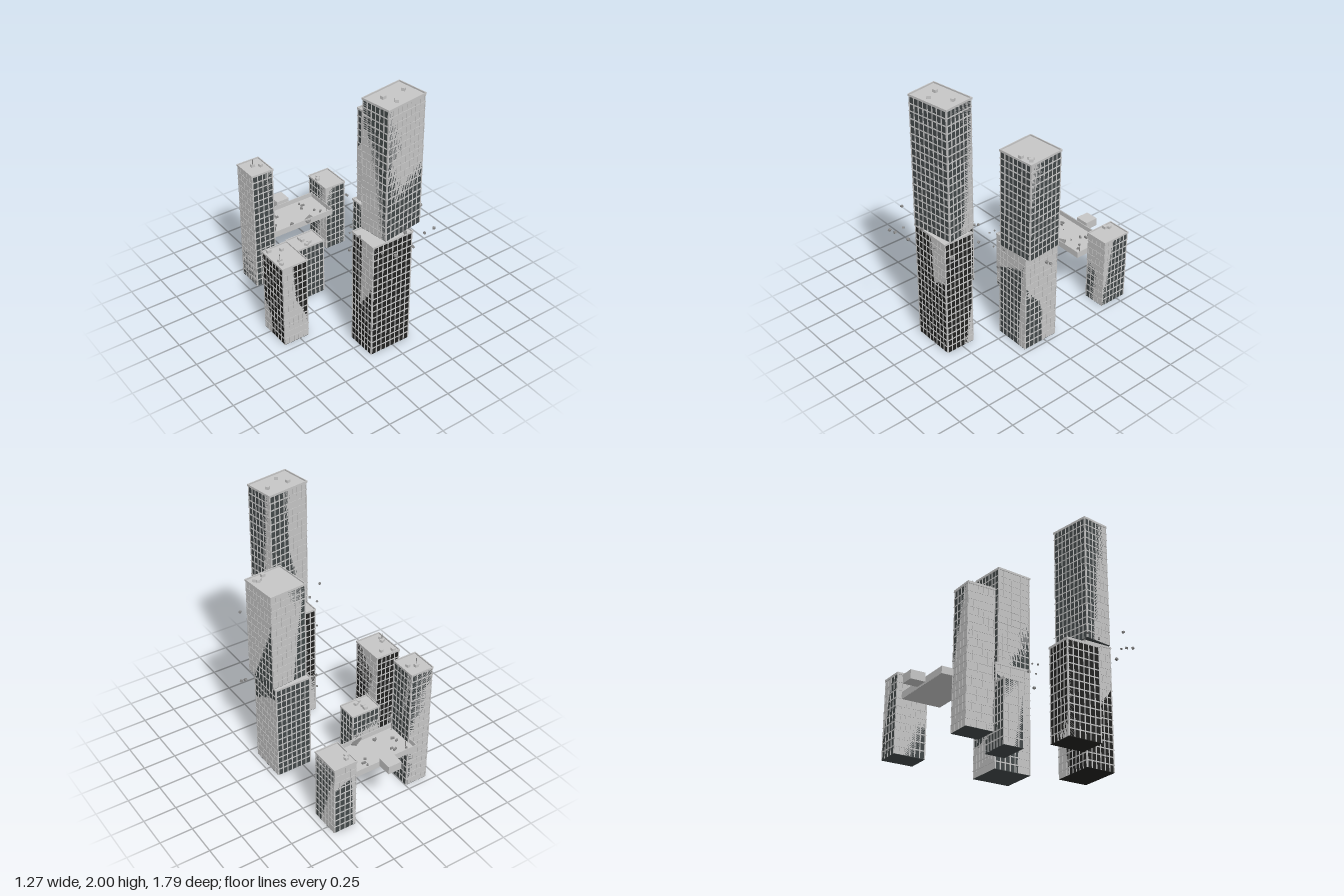
import * as THREE from 'three';
import { mergeGeometries } from 'three/addons/utils/BufferGeometryUtils.js';

const mat = (name, color) => {
  const m = new THREE.MeshStandardMaterial({ color });
  m.name = name;
  return m;
};
const greyGlass = mat('grey glass', 0x43494a);
const blackGlass = mat('black glass', 0x222221);
const concrete = mat('concrete', 0xc6c6c6);
const rubbleGrey = mat('rubble grey', 0x8a8a8a);

// Box geometry centred on x and z, standing on y
const box = (w, h, d, x = 0, y = 0, z = 0, turn = 0) =>
  new THREE.BoxGeometry(w, h, d).rotateY(turn).translate(x, y + h / 2, z);

function add(parent, name, geos, material) {
  const mesh = new THREE.Mesh(Array.isArray(geos) ? mergeGeometries(geos) : geos, material);
  mesh.name = name;
  parent.add(mesh);
  return mesh;
}

// Four thin walls around a rectangle
const rim = (w, d, y, h, t) => [
  box(w, h, t, 0, y, d / 2 - t / 2), box(w, h, t, 0, y, -d / 2 + t / 2),
  box(t, h, d - 2 * t, w / 2 - t / 2, y, 0), box(t, h, d - 2 * t, -w / 2 + t / 2, y, 0),
];

// Tower block: glass core, grid of mullions, roof with parapet and vents
function tower(name, { x, z, w, d, y = 0, h, turn = 0, glass = greyGlass, vents = [], mast }) {
  const g = new THREE.Group();
  g.name = name;
  g.position.set(x, y, z);
  g.rotation.y = turn;
  const e = 0.006, t = 0.008, cw = w - e, cd = d - e, wall = h - 0.012;
  add(g, 'glassWalls', box(cw, wall - 0.004, cd), glass);

  const bars = [];
  const rows = Math.round(h / 0.056), nx = Math.round(w / 0.042), nz = Math.round(d / 0.042);
  for (let i = 1; i < rows; i++) bars.push(box(w, t, d, 0, (i * wall) / rows - t / 2, 0));
  for (let i = 0; i <= nx; i++) {
    const px = -cw / 2 + t / 2 + (i * (cw - t)) / nx;
    bars.push(box(t, wall - 0.006, d - 0.001, px, 0.002, 0));
  }
  for (let i = 0; i <= nz; i++) {
    const pz = -cd / 2 + t / 2 + (i * (cd - t)) / nz;
    bars.push(box(w - 0.001, wall - 0.006, t, 0, 0.002, pz));
  }
  add(g, 'windowGrid', bars, concrete);
  add(g, 'roof', [box(w - 0.002, 0.006, d - 0.002, 0, wall - 0.005, 0),
    ...rim(w + 0.004, d + 0.004, wall - 0.004, 0.016, 0.006)], concrete);
  if (vents.length) {
    add(g, 'roofVents', vents.map(([vx, vz], i) =>
      box(0.03 - (i % 2) * 0.006, 0.022, 0.026, vx, wall, vz, turn ? i * 0.4 : i * 0.15)), concrete);
  }
  if (mast) add(g, 'mast', box(0.004, 0.068, 0.004, mast[0], wall, mast[1]), rubbleGrey);
  return g;
}

// Scattered cubes, given as x, y, z and size
const rubble = (list) => list.map(([x, y, z, s], i) =>
  new THREE.BoxGeometry(s, s * 0.8, s).rotateX(i * 0.7).rotateY(i * 1.3).translate(x, y, z));

export function createModel() {
  const model = new THREE.Group();
  model.name = 'brokenCity';

  model.add(
    // Broken towers: lower stump and twisted upper block
    tower('tallTowerLower', { x: -0.024, z: 0.513, w: 0.338, d: 0.238, h: 0.945, glass: blackGlass }),
    tower('tallTowerUpper', { x: 0.023, z: 0.54, w: 0.338, d: 0.235, y: 0.992, h: 1.0, turn: 0.15,
      vents: [[-0.07, -0.03], [0.1, -0.015], [-0.04, 0.06]] }),
    tower('wideTowerLower', { x: 0.323, z: 0.036, w: 0.288, d: 0.295, h: 0.79 }),
    tower('wideTowerUpper', { x: 0.35, z: 0.05, w: 0.29, d: 0.293, y: 0.796, h: 0.765, turn: 0.085,
      vents: [[0.02, 0.115], [0.068, 0.085], [0.1, 0.1], [0.088, 0.075]] }),
    // Whole towers
    tower('blackTower', { x: -0.53, z: 0.06, w: 0.207, d: 0.265, h: 0.683, glass: blackGlass,
      vents: [[-0.065, -0.105], [0.02, -0.07], [-0.06, 0.03], [-0.07, 0.07]], mast: [-0.065, 0.04] }),
    tower('shortTower', { x: -0.156, z: -0.248, w: 0.236, d: 0.16, h: 0.475,
      vents: [[-0.02, -0.04], [-0.02, -0.01], [0.01, 0.035], [-0.02, 0.05]] }),
    tower('slimTower', { x: -0.343, z: -0.606, w: 0.182, d: 0.206, h: 1.0,
      vents: [[-0.005, -0.025], [0.045, 0.005]], mast: [-0.007, -0.02] }),
    tower('rearTower', { x: 0.364, z: -0.712, w: 0.182, d: 0.236, h: 0.578,
      vents: [[-0.065, -0.03], [-0.045, -0.055]] }),
  );

  // Raised deck between the rear towers
  const deck = new THREE.Group();
  deck.name = 'skyDeck';
  deck.position.set(0.003, 0.388, -0.645);
  add(deck, 'deckFloor', box(0.535, 0.014, 0.29), concrete);
  add(deck, 'deckRim', rim(0.537, 0.292, 0.001, 0.05, 0.005), concrete);
  add(deck, 'deckBox', box(0.107, 0.064, 0.108, 0, 0.014, -0.2), concrete);
  add(deck, 'fallenSlab', new THREE.BoxGeometry(0.085, 0.012, 0.04).rotateX(0.35)
    .rotateY(0.5).translate(0.055, 0.035, 0.13), rubbleGrey);
  const bits = [[-0.21, -0.1], [-0.12, -0.05], [-0.135, -0.07], [0.12, -0.1], [0.1, -0.04], [0.13, -0.07],
    [0.17, 0.035], [0.2, 0.075], [-0.19, 0.035], [-0.07, 0.095], [-0.2, 0], [-0.08, 0.09]];
  add(deck, 'deckRubble', bits.map(([x, z], i) =>
    box(0.014 + (i % 3) * 0.008, 0.014, 0.012, x, 0.014, z, -0.5 + (i % 4) * 0.4)), rubbleGrey);
  add(deck, 'deckPosts', [[-0.24, 0.12], [0.24, 0.1], [-0.21, -0.09]].map(([x, z]) =>
    box(0.004, 0.06, 0.004, x, 0.012, z)), rubbleGrey);
  model.add(deck);

  // Floating rubble around the breaks
  add(model, 'tallTowerRubble', rubble([
    [-0.37, 0.99, 0.61, 0.016], [-0.215, 0.995, 0.41, 0.014], [-0.215, 0.975, 0.51, 0.016],
    [-0.19, 0.955, 0.73, 0.014], [-0.17, 1.0, 0.855, 0.018], [-0.1, 0.915, 0.755, 0.019],
    [-0.06, 1.05, 0.885, 0.017], [0.01, 1.035, 0.715, 0.019], [0.165, 0.975, 0.73, 0.016],
    [0.29, 0.935, 0.68, 0.018], [0.33, 1.0, 0.485, 0.016], [0.19, 1.02, 0.375, 0.014],
    [-0.15, 0.86, 0.31, 0.012], [0.08, 0.94, 0.32, 0.013], [-0.05, 0.97, 0.235, 0.006],
    [0.02, 1.035, 0.37, 0.008],
  ]), rubbleGrey);
  add(model, 'wideTowerRubble', rubble([
    [0.37, 0.755, 0.345, 0.019], [0.35, 0.86, 0.28, 0.014], [0.155, 0.77, 0.15, 0.019],
    [0.04, 0.78, 0.155, 0.012], [0.03, 0.77, 0.1, 0.01], [0.585, 0.8, 0.1, 0.018],
    [0.62, 0.805, 0.095, 0.017], [0.185, 0.77, -0.205, 0.012], [0.15, 0.81, -0.14, 0.015],
    [0.345, 0.78, -0.275, 0.007], [0.475, 0.78, -0.23, 0.01], [0.19, 0.78, 0.24, 0.01],
  ]), rubbleGrey);

  return model;
}
